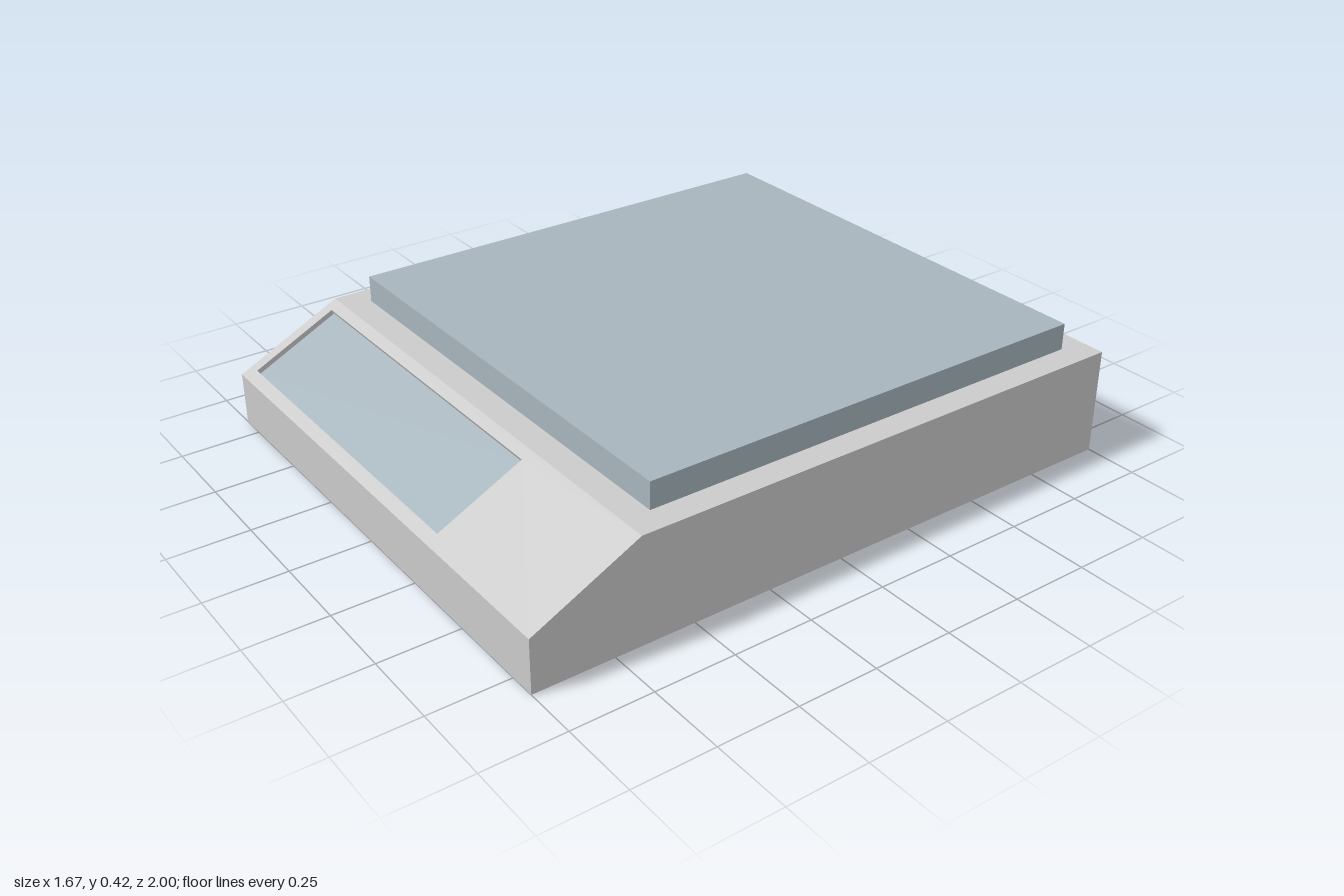
import * as THREE from 'three';

const grey = new THREE.MeshStandardMaterial({ color: 0xcccccc });
const blue = new THREE.MeshStandardMaterial({ color: 0xa7b5bd });

const HALF_W = 0.833;
const TOP = 0.333, LIP = 0.167, SLOPE_Z = 0.667;
const SLOPE = Math.hypot(1 - SLOPE_Z, TOP - LIP);
const TILT = Math.atan2(1 - SLOPE_Z, TOP - LIP);
const DEPTH = 0.0167;                                   // recess depth
const WIN = { x0: -0.795, x1: 0.328, v0: 0.04, v1: 0.336 };

function shapeOf(points) {
  return new THREE.Shape(points.map(([x, y]) => new THREE.Vector2(x, y)));
}

function rect(x0, y0, x1, y1) {
  return [[x0, y0], [x1, y0], [x1, y1], [x0, y1]];
}

function add(parent, name, geometry, material, x = 0, y = 0, z = 0) {
  const mesh = new THREE.Mesh(geometry, material);
  mesh.name = name;
  mesh.position.set(x, y, z);
  parent.add(mesh);
  return mesh;
}

export function createModel() {
  const model = new THREE.Group();
  model.name = 'tabletopScale';

  // Housing: side profile (z, y) stepped down under the sloped panel
  const dy = Math.sin(TILT) * DEPTH, dz = Math.cos(TILT) * DEPTH;
  const profile = shapeOf([
    [-1, 0], [1, 0], [1, LIP], [1 - dz, LIP - dy],
    [SLOPE_Z - dz, TOP - dy], [SLOPE_Z, TOP], [-1, TOP],
  ]);
  const body = new THREE.ExtrudeGeometry(profile, { depth: 2 * HALF_W, bevelEnabled: false });
  body.translate(0, 0, -HALF_W).rotateY(-Math.PI / 2);
  add(model, 'housing', body, grey);

  // Sloped front panel with a window cut for the display
  const console_ = new THREE.Group();
  console_.name = 'controlPanel';
  console_.position.set(0, LIP, 1);
  console_.rotation.x = -TILT;
  model.add(console_);

  const face = shapeOf(rect(-HALF_W, 0, HALF_W, SLOPE));
  face.holes.push(shapeOf(rect(WIN.x0, WIN.v0, WIN.x1, WIN.v1)));
  const panel = new THREE.ExtrudeGeometry(face, { depth: DEPTH, bevelEnabled: false });
  add(console_, 'slopedPanel', panel, grey, 0, 0, -DEPTH);

  // Display at the bottom of the recess
  const display = new THREE.PlaneGeometry(WIN.x1 - WIN.x0, WIN.v1 - WIN.v0);
  add(console_, 'display', display, blue,
    (WIN.x0 + WIN.x1) / 2, (WIN.v0 + WIN.v1) / 2, 0.001 - DEPTH);

  // Weighing platform
  add(model, 'platform', new THREE.BoxGeometry(1.5, 0.084, 1.5), blue, 0, TOP + 0.042, -0.167);

  return model;
}
